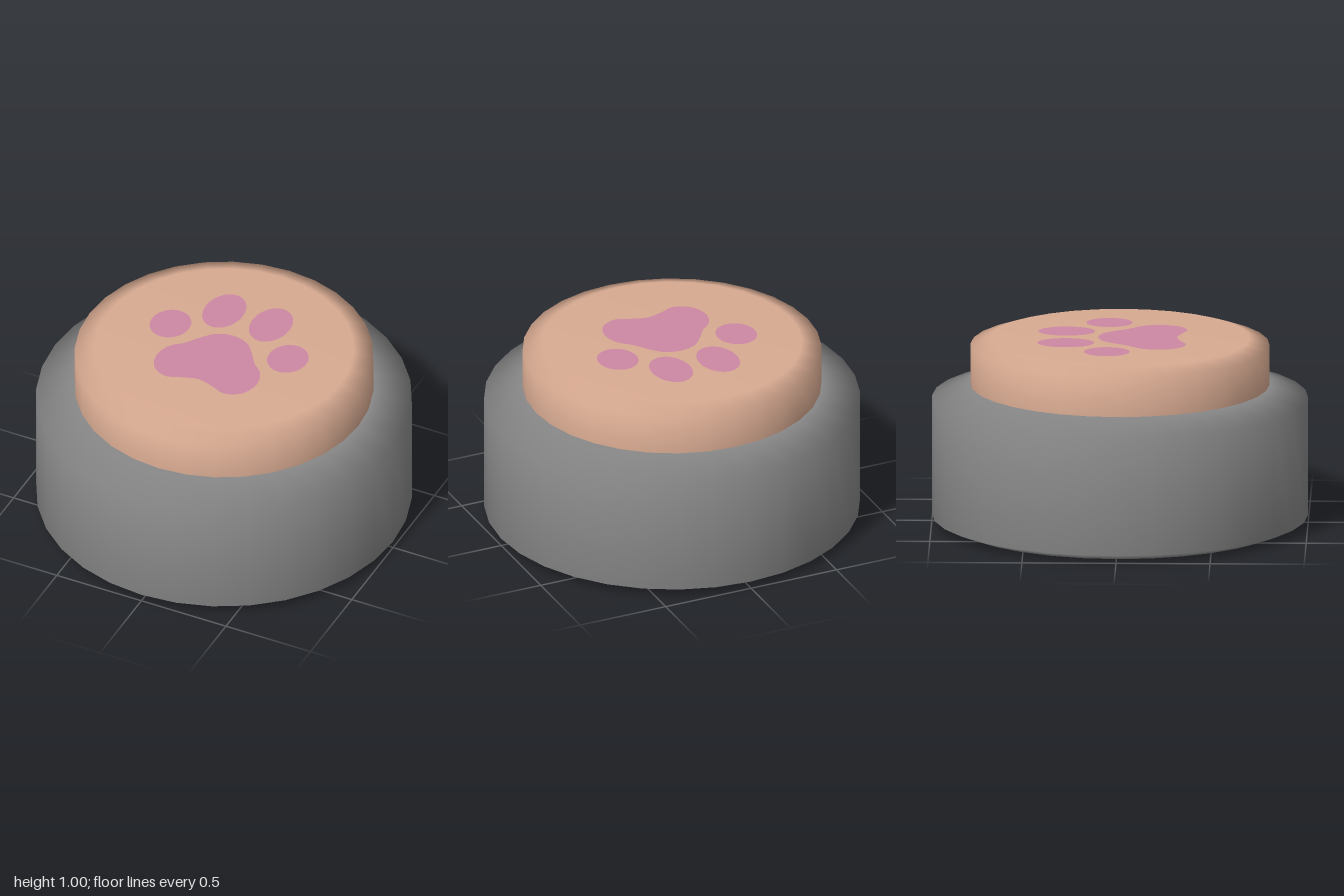
import * as THREE from 'three';

const material = (name, color) => {
  const m = new THREE.MeshStandardMaterial({ color });
  m.name = name;
  return m;
};

export function createModel() {
  const group = new THREE.Group();
  group.name = 'pawButton';
  const grey = material('grey housing', 0x888888);
  const peach = material('peach cap', 0xd9ab92);
  const pink = material('pink paw', 0xce88a4);

  const add = (name, geometry, mat) => {
    const mesh = new THREE.Mesh(geometry, mat);
    mesh.name = name;
    group.add(mesh);
    return mesh;
  };
  const lathe = (pts) => new THREE.LatheGeometry(pts.map(([r, y]) => new THREE.Vector2(r, y)), 32);

  // Round housing and the push cap on it, both bevelled
  add('housing', lathe([[0, 0], [0.9, 0], [1, 0.04], [1, 0.68], [0.8, 0.75], [0, 0.75]]), grey);
  add('cap', lathe([[0.795, 0.74], [0.795, 0.965], [0.69, 1], [0, 1]]), peach);

  // Paw print: flat shapes lying just above the cap (shape y points to the back)
  const flat = (name, shape) => {
    const geometry = new THREE.ShapeGeometry(shape, 32);
    geometry.rotateX(-Math.PI / 2);
    add(name, geometry, pink).position.y = 1.004;
  };
  for (const side of [-1, 1]) {
    flat('innerToe', new THREE.Shape().absellipse(side * 0.138, 0.286, 0.108, 0.151, 0, Math.PI * 2));
    flat('outerToe', new THREE.Shape().absellipse(side * 0.347, 0.063, 0.108, 0.122, 0, Math.PI * 2));
  }

  // Main pad: half outline mirrored, then smoothed
  const half = [[0.09, 0.09], [0.155, 0.02], [0.205, -0.05], [0.27, -0.115], [0.295, -0.21],
    [0.26, -0.31], [0.175, -0.355], [0.085, -0.325]];
  const outline = [[0, 0.115], ...half, [0, -0.303], ...half.map(([x, y]) => [-x, y]).reverse()];
  const curve = new THREE.CatmullRomCurve3(outline.map(([x, y]) => new THREE.Vector3(x, y, 0)), true);
  const points = curve.getPoints(96).slice(0, -1).map((p) => new THREE.Vector2(p.x, p.y));
  flat('mainPad', new THREE.Shape(points));

  return group;
}
